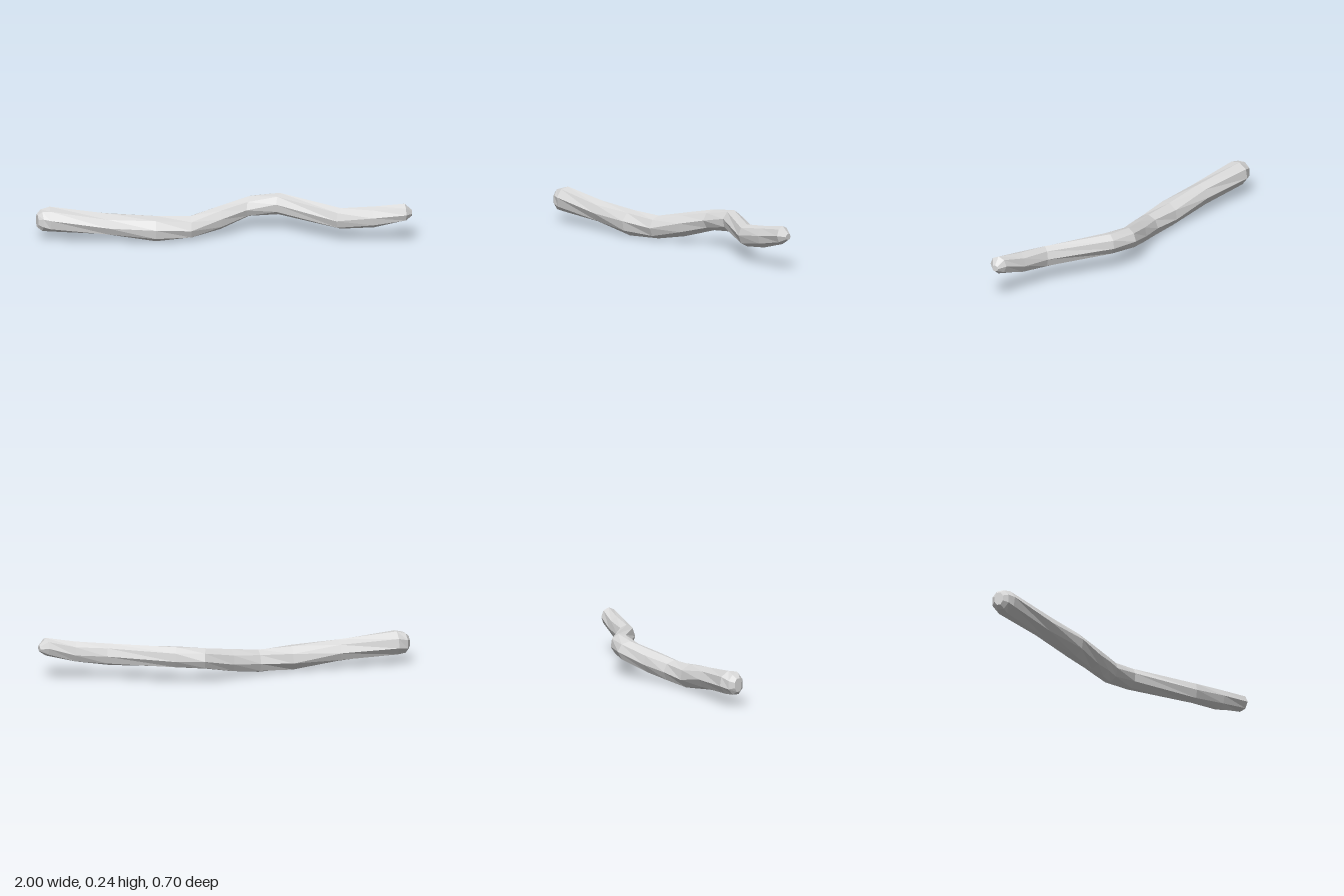
import * as THREE from 'three';

const SIDES = 8;

// Cross-sections along the stick: back x, back z, front x, front z, bottom y, top y, twist in steps
const RINGS = [
  [-1.0, -0.315, -0.998, -0.265, 0.083, 0.157, 0.5],
  [-0.975, -0.34, -0.975, -0.24, 0.065, 0.178, 0.5],
  [-0.915, -0.354, -0.94, -0.217, 0.057, 0.193, 0.3],
  [-0.6, -0.262, -0.63, -0.127, 0.036, 0.16, 0],
  [-0.34, -0.19, -0.38, -0.053, 0.002, 0.14, 0.3],
  [-0.15, -0.163, -0.18, -0.033, 0.006, 0.135, 0],
  [0.02, -0.172, 0.0, -0.057, 0.035, 0.168, 0.2],
  [0.22, -0.2, 0.15, -0.08, 0.082, 0.2, 0],
  [0.37, -0.135, 0.31, -0.045, 0.098, 0.217, 0.3],
  [0.66, 0.135, 0.59, 0.205, 0.08, 0.204, 0],
  [0.82, 0.2, 0.78, 0.287, 0.102, 0.222, 0.2],
  [0.96, 0.25, 0.955, 0.35, 0.145, 0.247, 0],
  [1.0, 0.283, 0.995, 0.322, 0.172, 0.208, 0],
];

function loftGeometry(rings) {
  const pos = [];
  const index = [];
  for (const [bx, bz, fx, fz, y0, y1, twist] of rings) {
    const step = (Math.PI * 2) / SIDES;
    // A twisted section is enlarged so it still reaches its full width and height
    const r = 0.5 / Math.cos(twist * step);
    for (let j = 0; j < SIDES; j++) {
      const c = Math.cos((j + twist) * step) * r;
      const s = Math.sin((j + twist) * step) * r;
      pos.push(
        (bx + fx) / 2 + (fx - bx) * c,
        (y0 + y1) / 2 + (y1 - y0) * s,
        (bz + fz) / 2 + (fz - bz) * c,
      );
    }
  }
  // Long faces between neighbouring sections
  for (let i = 0; i < rings.length - 1; i++) {
    for (let j = 0; j < SIDES; j++) {
      const k = (j + 1) % SIDES;
      const a = i * SIDES + j, b = i * SIDES + k;
      const c = a + SIDES, d = b + SIDES;
      index.push(a, c, b, b, c, d);
    }
  }
  // Blunt ends
  const last = (rings.length - 1) * SIDES;
  for (let j = 1; j < SIDES - 1; j++) {
    index.push(0, j, j + 1, last, last + j + 1, last + j);
  }
  const geometry = new THREE.BufferGeometry();
  geometry.setAttribute('position', new THREE.Float32BufferAttribute(pos, 3));
  geometry.setIndex(index);
  const flat = geometry.toNonIndexed();
  flat.computeVertexNormals();
  return flat;
}

export function createModel() {
  const group = new THREE.Group();
  group.name = 'crookedStick';
  const grey = new THREE.MeshStandardMaterial({ color: 0xdadada });
  grey.name = 'light grey';
  const stick = new THREE.Mesh(loftGeometry(RINGS), grey);
  stick.name = 'stick';
  group.add(stick);
  return group;
}
